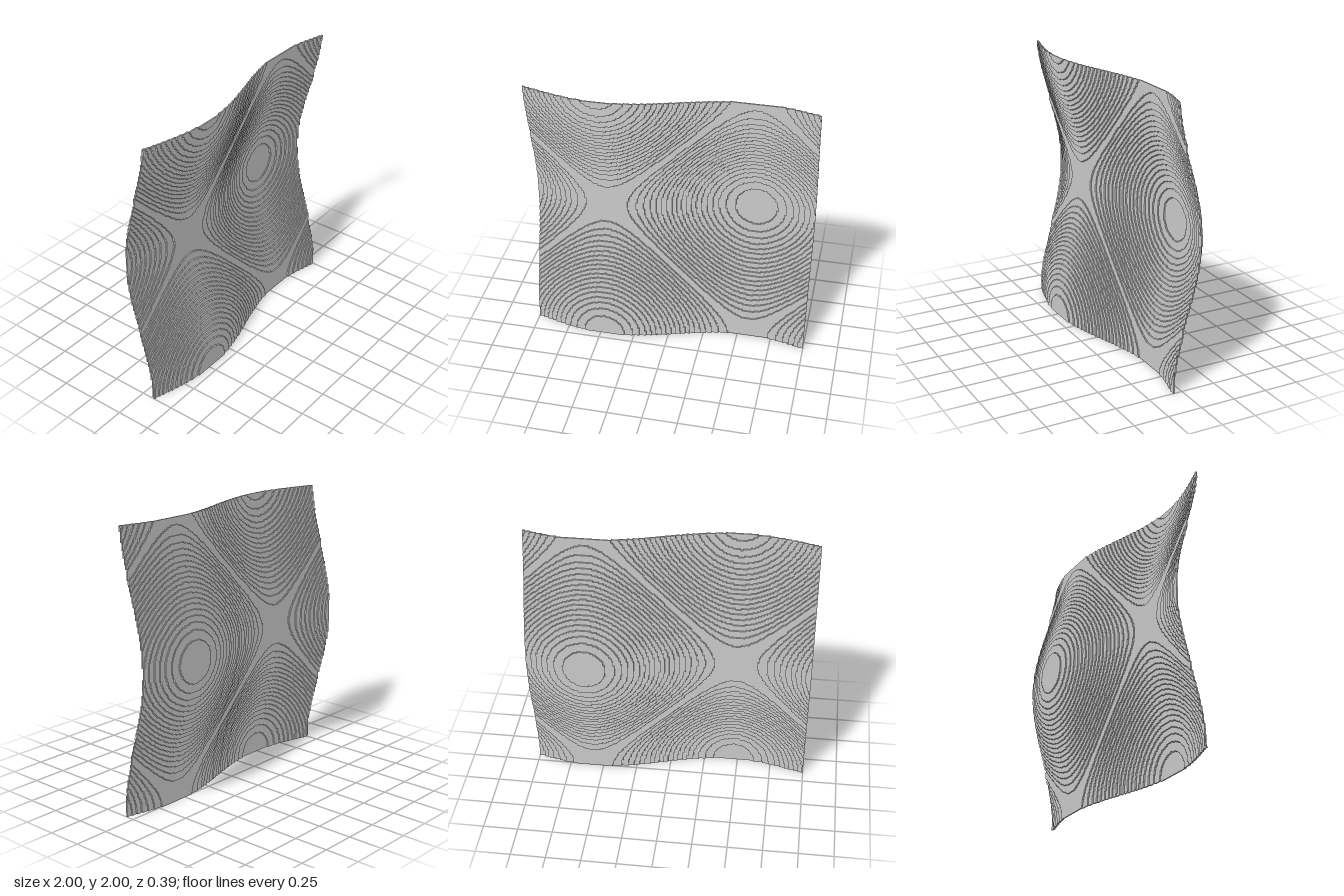
import * as THREE from 'three';
import { mergeGeometries } from 'three/addons/utils/BufferGeometryUtils.js';

const CELLS = 200;          // voxels along each side of the sheet
const SIZE = 2 / CELLS;     // edge of one voxel
const WAVE = 0.03;          // radians per voxel
const AMPLITUDE = 10;       // wave height in voxels

// Depth of the sheet in whole voxels: a sine across plus a cosine upwards
function depthAt(i, j) {
  return Math.trunc(AMPLITUDE * (Math.sin(i * WAVE) + Math.cos(j * WAVE)));
}

// One bar of voxels in column i, covering rows start to end
function bar(i, start, end, depth) {
  const geometry = new THREE.BoxGeometry(SIZE, (end - start) * SIZE, SIZE);
  geometry.translate((i + 0.5) * SIZE - 1, (start + end) * SIZE / 2, depth * SIZE);
  return geometry;
}

export function createModel() {
  const bars = [];

  // Each column is split into bars wherever the depth steps
  for (let i = 0; i < CELLS; i++) {
    let start = 0;
    for (let j = 1; j <= CELLS; j++) {
      const depth = depthAt(i, start);
      if (j === CELLS || depthAt(i, j) !== depth) {
        bars.push(bar(i, start, j, depth));
        start = j;
      }
    }
  }

  const material = new THREE.MeshStandardMaterial({ color: 0xcccccc });
  const sheet = new THREE.Mesh(mergeGeometries(bars), material);
  sheet.name = 'steppedWaveSheet';

  const group = new THREE.Group();
  group.name = 'wavePanel';
  group.add(sheet);
  return group;
}
